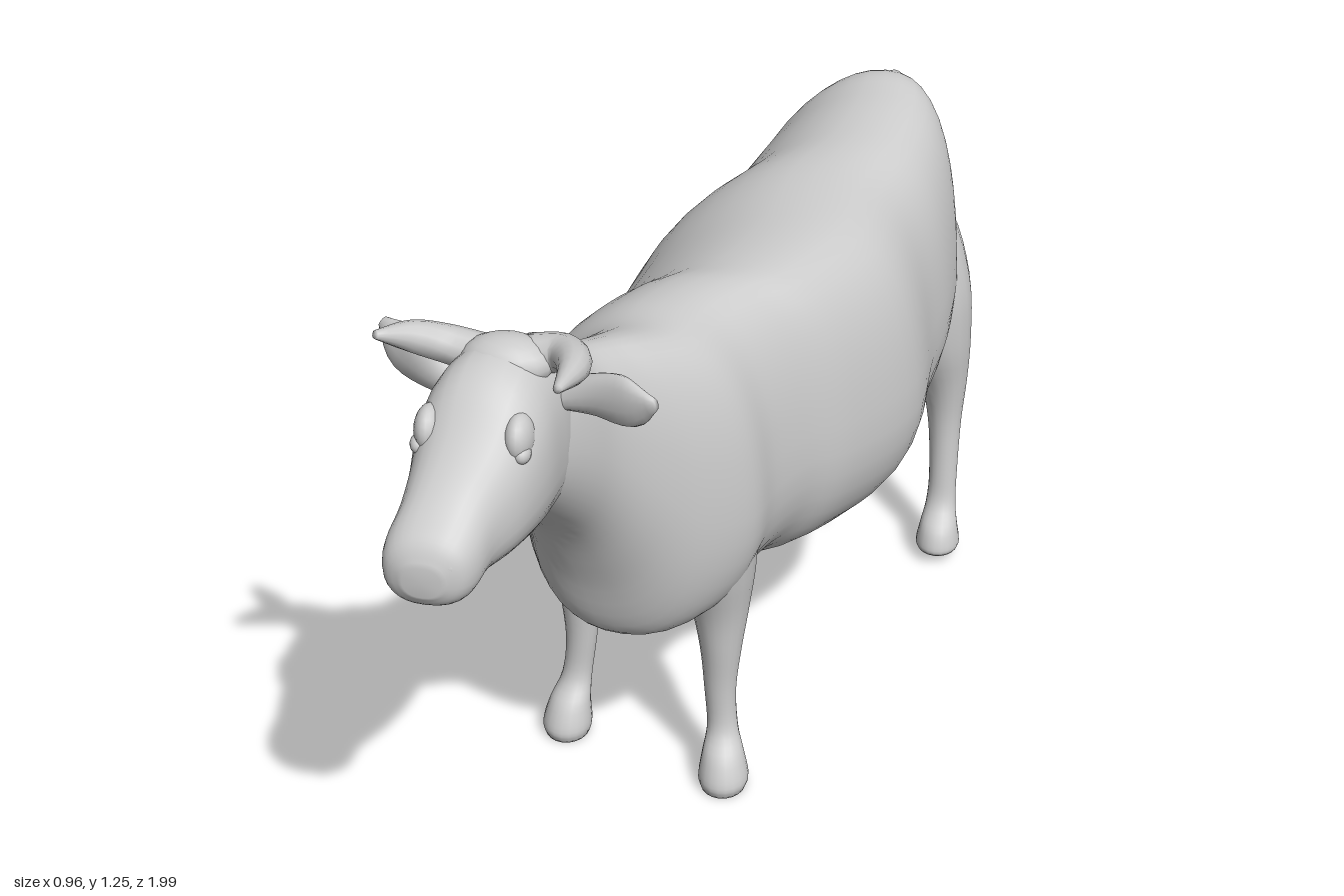
import * as THREE from 'three';

const material = new THREE.MeshStandardMaterial({ color: 0xcccccc });
const V = (x, y, z) => new THREE.Vector3(x, y, z);
const X = V(1, 0, 0), Y = V(0, 1, 0), Z = V(0, 0, 1);

// Closed smooth skin through sections [x, y, z, halfWidth, halfHeight, topShift].
// Rings follow the path unless a fixed axis is given; low widens the lower half.
function loft(sections, { axis = null, up = Y, seg = 20, sub = 4, pow = 1, low = 0 } = {}) {
  const curve = points => new THREE.CatmullRomCurve3(points, false, 'catmullrom', 0.5);
  const path = curve(sections.map(s => V(s[0], s[1], s[2])));
  const size = curve(sections.map(s => V(s[3], s[4], s[5] || 0)));
  const steps = (sections.length - 1) * sub;
  const pos = [], index = [];
  const soft = v => Math.sign(v) * Math.pow(Math.abs(v), pow);
  for (let i = 0; i <= steps; i++) {
    const c = path.getPoint(i / steps), r = size.getPoint(i / steps);
    const dir = axis || path.getTangent(i / steps);
    const side = V().crossVectors(up, dir).normalize();
    const top = V().crossVectors(dir, side).normalize();
    for (let j = 0; j < seg; j++) {
      const a = j / seg * Math.PI * 2;
      const u = soft(Math.cos(a)), v = soft(Math.sin(a));
      const p = c.clone()
        .addScaledVector(side, r.x * u * (1 - low * v) + r.z * Math.max(0, v) ** 2)
        .addScaledVector(top, r.y * v);
      pos.push(p.x, p.y, p.z);
    }
  }
  for (let i = 0; i < steps; i++) for (let j = 0; j < seg; j++) {
    const a = i * seg + j, b = i * seg + (j + 1) % seg;
    index.push(a, b, a + seg, b, b + seg, a + seg);
  }
  // end caps
  const n = pos.length / 3, s = sections[0], e = sections[sections.length - 1];
  pos.push(s[0], s[1], s[2], e[0], e[1], e[2]);
  for (let j = 0; j < seg; j++) {
    const k = (j + 1) % seg;
    index.push(n, k, j, n + 1, steps * seg + j, steps * seg + k);
  }
  const g = new THREE.BufferGeometry();
  g.setAttribute('position', new THREE.Float32BufferAttribute(pos, 3));
  g.setIndex(index);
  g.computeVertexNormals();
  return g;
}

export function createModel() {
  const group = new THREE.Group();
  const add = (name, geometry) => {
    const mesh = new THREE.Mesh(geometry, material);
    mesh.name = name;
    group.add(mesh);
    return mesh;
  };
  const ball = (name, x, y, z, rx, ry, rz) => {
    const mesh = add(name, new THREE.SphereGeometry(1, 18, 12));
    mesh.position.set(x, y, z);
    mesh.scale.set(rx, ry, rz);
  };

  // Trunk and neck, from rump to head
  add('body', loft([
    [0.20, 0.88, -0.885, 0.04, 0.10, 0.02],
    [0.195, 0.86, -0.865, 0.12, 0.24, 0.04],
    [0.185, 0.835, -0.80, 0.205, 0.315, 0.06],
    [0.18, 0.80, -0.70, 0.25, 0.34, 0.07],
    [0.155, 0.765, -0.55, 0.28, 0.35, 0.07],
    [0.10, 0.74, -0.40, 0.318, 0.358, 0.07],
    [0.08, 0.725, -0.20, 0.33, 0.355, 0.07],
    [0.025, 0.735, 0.00, 0.29, 0.34, 0.06],
    [-0.03, 0.75, 0.10, 0.268, 0.33, 0.05],
    [-0.07, 0.745, 0.20, 0.256, 0.335, 0.04],
    [-0.07, 0.74, 0.30, 0.23, 0.34, 0.02],
    [-0.09, 0.765, 0.39, 0.175, 0.335, 0],
    [-0.125, 0.85, 0.45, 0.135, 0.265, 0],
    [-0.155, 0.93, 0.52, 0.11, 0.205, 0],
    [-0.19, 1.01, 0.61, 0.105, 0.185, 0],
    [-0.23, 1.05, 0.74, 0.085, 0.11, 0],
  ], { axis: Z, seg: 40, sub: 5, pow: 0.9, low: 0.12 }));

  // Head tapering to a blunt muzzle
  add('head', loft([
    [-0.20, 1.04, 0.55, 0.05, 0.10],
    [-0.21, 1.04, 0.62, 0.10, 0.175],
    [-0.23, 1.035, 0.70, 0.118, 0.185],
    [-0.24, 1.025, 0.77, 0.12, 0.165],
    [-0.25, 0.995, 0.84, 0.105, 0.125],
    [-0.27, 0.965, 0.90, 0.088, 0.095],
    [-0.285, 0.935, 0.95, 0.085, 0.08],
    [-0.29, 0.925, 0.98, 0.07, 0.06],
    [-0.29, 0.92, 0.997, 0.035, 0.03],
  ], { axis: Z, seg: 28, pow: 0.85 }));
  ball('pollTuft', -0.215, 1.185, 0.67, 0.085, 0.05, 0.06);
  ball('lowerLip', -0.285, 0.885, 0.935, 0.06, 0.025, 0.045);
  for (const s of [-1, 1]) {
    ball('brow', -0.245 + s * 0.08, 1.105, 0.79, 0.027, 0.045, 0.045);
    ball('eye', -0.247 + s * 0.092, 1.085, 0.812, 0.016, 0.018, 0.022);
    ball('nostril', -0.29 + s * 0.042, 0.945, 0.972, 0.022, 0.02, 0.018);
  }

  // Horns sweep outwards and then forwards
  const horns = {
    leftHorn: [[-0.18, 1.19, 0.65, 0.038, 0.038], [-0.115, 1.205, 0.66, 0.035, 0.035],
      [-0.08, 1.22, 0.73, 0.03, 0.03], [-0.08, 1.24, 0.845, 0.008, 0.008]],
    rightHorn: [[-0.26, 1.18, 0.65, 0.038, 0.038], [-0.33, 1.195, 0.65, 0.035, 0.035],
      [-0.385, 1.22, 0.68, 0.029, 0.029], [-0.43, 1.25, 0.74, 0.008, 0.008]],
  };
  for (const name in horns) add(name, loft(horns[name], { seg: 12 }));

  // Ears: flat leaves, broad in the middle
  const ears = {
    leftEar: [[-0.13, 1.11, 0.65, 0.022, 0.025], [-0.06, 1.13, 0.665, 0.042, 0.024],
      [0.01, 1.14, 0.695, 0.05, 0.02], [0.06, 1.155, 0.72, 0.012, 0.008]],
    rightEar: [[-0.31, 1.11, 0.65, 0.022, 0.025], [-0.37, 1.125, 0.62, 0.042, 0.024],
      [-0.43, 1.14, 0.58, 0.05, 0.02], [-0.48, 1.17, 0.55, 0.012, 0.008]],
  };
  for (const name in ears) add(name, loft(ears[name], { up: Z, seg: 14 }));

  // Legs: height, forward offset, half width, half depth, lean towards the trunk
  const front = [
    [0.82, -0.05, 0.03, 0.05, 0.05], [0.68, -0.04, 0.09, 0.12, 0.035],
    [0.54, -0.045, 0.083, 0.095, 0.02], [0.42, -0.045, 0.06, 0.06, 0.005],
    [0.32, -0.04, 0.043, 0.043, 0], [0.22, -0.035, 0.033, 0.03, 0],
    [0.13, -0.03, 0.032, 0.03, -0.01], [0.08, -0.005, 0.043, 0.045, -0.02],
    [0.03, 0.005, 0.052, 0.058, -0.025], [0.004, 0.005, 0.046, 0.053, -0.025],
  ];
  const rear = [
    [1.02, -0.01, 0.04, 0.05, 0.18], [0.85, -0.015, 0.10, 0.105, 0.125],
    [0.70, -0.025, 0.112, 0.115, 0.085], [0.56, -0.04, 0.09, 0.095, 0.05],
    [0.44, -0.06, 0.055, 0.06, 0.015], [0.33, -0.06, 0.038, 0.04, 0.005],
    [0.20, -0.045, 0.032, 0.03, 0], [0.13, -0.03, 0.034, 0.03, 0],
    [0.085, -0.005, 0.043, 0.048, 0], [0.045, 0, 0.05, 0.06, 0],
    [0.03, 0, 0.046, 0.055, 0],
  ];
  const leg = (name, profile, x, z, leanX, leanZ) => add(name, loft(
    profile.map(([y, dz, w, d, lean]) => [x + leanX * lean, y, z + dz + leanZ * lean, w, d]),
    { axis: V(0, -1, 0), up: Z, seg: 20 }));
  leg('leftFrontLeg', front, 0.085, 0.28, -0.6, 0);
  leg('rightFrontLeg', front, -0.235, 0.16, 1, 0);
  leg('leftRearLeg', rear, 0.425, -0.665, -0.9, -0.4);
  leg('rightRearLeg', rear, 0.01, -0.80, 0.9, 0.9);

  // Udder with four teats
  ball('udder', 0.26, 0.475, -0.56, 0.10, 0.10, 0.15);
  for (const [x, z] of [[0.24, -0.53], [0.31, -0.54], [0.25, -0.61], [0.315, -0.62]]) {
    add('teat', loft([[x, 0.43, z, 0.028, 0.028], [x, 0.37, z, 0.018, 0.018],
      [x, 0.335, z, 0.013, 0.013], [x, 0.323, z, 0.004, 0.004]],
    { axis: V(0, -1, 0), up: Z, seg: 10, sub: 2 }));
  }

  // Tail hangs down the rump and ends in a swept-back brush
  add('tail', loft([
    [0.25, 1.105, -0.74, 0.03, 0.025], [0.26, 1.115, -0.82, 0.028, 0.025],
    [0.27, 1.04, -0.87, 0.024, 0.022], [0.27, 0.90, -0.885, 0.019, 0.018],
    [0.27, 0.74, -0.89, 0.018, 0.018], [0.275, 0.63, -0.90, 0.024, 0.022],
    [0.285, 0.53, -0.92, 0.036, 0.034], [0.295, 0.44, -0.953, 0.04, 0.036],
    [0.305, 0.385, -0.98, 0.018, 0.016],
  ], { up: X, seg: 14 }));

  return group;
}
